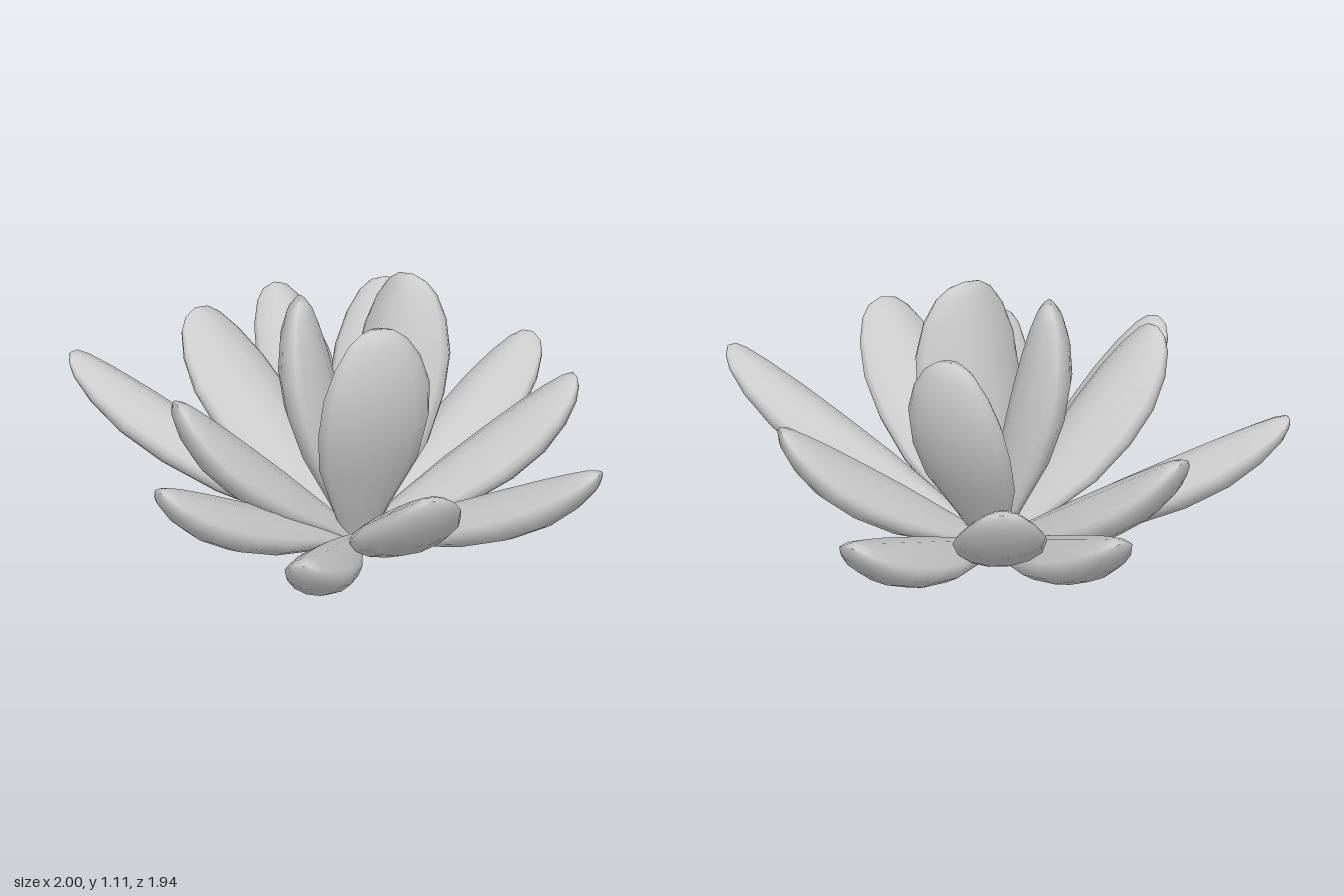
import * as THREE from 'three';

const SIDES = 14;
const BASE = new THREE.Vector3(-0.035, 0.035, 0);

// Leaf profile along its length: [position, width, upper height, underside height]
const PROFILE = [
  [0, 0, 0, 0],
  [0.005, 0.22, 0.03, -0.03],
  [0.2, 0.54, 0.032, -0.072],
  [0.42, 0.91, 0.028, -0.135],
  [0.6, 1, 0.022, -0.16],
  [0.75, 0.96, 0.016, -0.154],
  [0.87, 0.78, 0.01, -0.122],
  [0.95, 0.54, 0.004, -0.082],
  [0.985, 0.32, -0.004, -0.05],
  [1, 0, -0.022, -0.022],
];

// Each leaf: [tip x, tip y, tip z, width]
const OUTER = [
  [-0.18, 0.555, -0.96, 0.32],
  [0.395, 0.725, -0.715, 0.36],
  [0.985, 0.71, -0.365, 0.28],
  [0.765, 0.725, 0.26, 0.37],
  [0.585, 0.53, 0.74, 0.25],
  [-0.015, 0.645, 0.955, 0.3],
  [-0.25, 0.815, 0.68, 0.38],
  [-0.95, 0.705, 0.66, 0.29],
  [-0.88, 0.725, 0.11, 0.38],
  [-0.98, 0.62, -0.345, 0.30],
  [-0.62, 0.72, -0.6, 0.36],
];
const INNER = [
  [-0.12, 1.065, -0.325, 0.42],
  [0.155, 1.115, 0.06, 0.45],
  [-0.165, 1.115, 0.15, 0.40],
];

// Lofted leaf along +z with an arched axis: softly ridged on top, full underneath
function leafGeometry(length, width, plump) {
  const positions = [], index = [];
  for (const [t, w, top, bottom] of PROFILE) {
    const rim = (top + bottom) / 2;
    for (let j = 0; j < SIDES; j++) {
      const a = (j / SIDES) * Math.PI * 2, s = Math.sin(a);
      const y = s > 0 ? s ** 1.8 * (top + plump * w - rim) : s * (rim - bottom);
      positions.push(Math.cos(a) * w * width / 2, rim + y, t * length);
    }
  }
  for (let i = 0; i < PROFILE.length - 1; i++) {
    for (let j = 0; j < SIDES; j++) {
      const k = (j + 1) % SIDES;
      const a = i * SIDES + j, b = i * SIDES + k;
      index.push(a, b, a + SIDES, b, b + SIDES, a + SIDES);
    }
  }
  const geometry = new THREE.BufferGeometry();
  geometry.setAttribute('position', new THREE.Float32BufferAttribute(positions, 3));
  geometry.setIndex(index);
  geometry.computeVertexNormals();
  return geometry;
}

export function createModel() {
  const group = new THREE.Group();
  group.name = 'succulent';
  const material = new THREE.MeshStandardMaterial({ color: 0xcccccc });

  // Leaf pointing from the base to its tip, upper face towards the plant axis
  const addLeaf = (name, [x, y, z, width], plump) => {
    const dir = new THREE.Vector3(x, y, z).sub(BASE);
    const length = dir.length();
    dir.normalize();
    const side = new THREE.Vector3(0, 1, 0).cross(dir).normalize();
    const up = dir.clone().cross(side);
    const leaf = new THREE.Mesh(leafGeometry(length, width, plump), material);
    leaf.quaternion.setFromRotationMatrix(new THREE.Matrix4().makeBasis(side, up, dir));
    leaf.position.copy(BASE);
    leaf.name = name;
    group.add(leaf);
  };
  OUTER.forEach((leaf, i) => addLeaf(`outerLeaf${i + 1}`, leaf, 0.005));
  INNER.forEach((leaf, i) => addLeaf(`innerLeaf${i + 1}`, leaf, 0.03));

  // Small stem nub where the leaves meet
  const nub = new THREE.Mesh(new THREE.SphereGeometry(0.045, 10, 6), material);
  nub.name = 'stemNub';
  nub.scale.y = 0.75;
  nub.position.copy(BASE);
  group.add(nub);
  return group;
}
